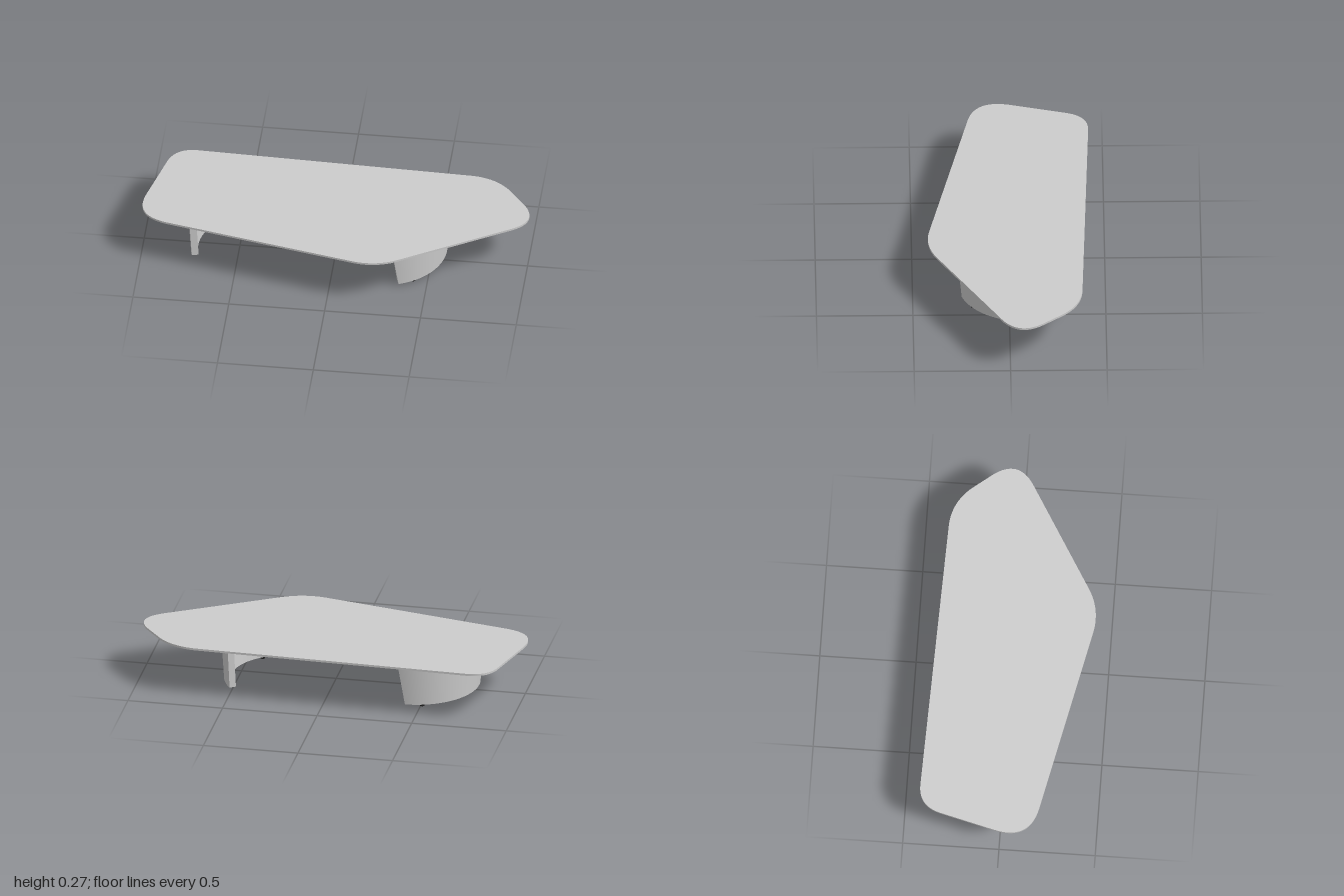
import * as THREE from 'three';
import { toCreasedNormals } from 'three/addons/utils/BufferGeometryUtils.js';

const grey = new THREE.MeshStandardMaterial({ color: 0xcccccc });
const dark = new THREE.MeshStandardMaterial({ color: 0x222222 });

// Closed solid from stacked rings (bottom to top): each ring is { y, pts: [Vector2(x, z)] }
function loft(rings) {
  const flip = (pts) => pts.map((p) => new THREE.Vector2(p.x, -p.y));
  if (THREE.ShapeUtils.area(flip(rings[0].pts)) < 0) {
    rings = rings.map((r) => ({ y: r.y, pts: [...r.pts].reverse() }));
  }
  const n = rings[0].pts.length;
  const pos = [];
  const idx = [];
  for (const r of rings) for (const p of r.pts) pos.push(p.x, r.y, p.y);
  for (let k = 0; k < rings.length - 1; k++) {
    for (let i = 0; i < n; i++) {
      const a = k * n + i, b = k * n + (i + 1) % n;
      idx.push(a, b, b + n, a, b + n, a + n);
    }
  }
  const last = (rings.length - 1) * n;
  for (const [a, b, c] of THREE.ShapeUtils.triangulateShape(flip(rings[0].pts), [])) idx.push(a, c, b);
  for (const [a, b, c] of THREE.ShapeUtils.triangulateShape(flip(rings[rings.length - 1].pts), [])) {
    idx.push(last + a, last + b, last + c);
  }
  const g = new THREE.BufferGeometry();
  g.setAttribute('position', new THREE.Float32BufferAttribute(pos, 3));
  g.setIndex(idx);
  return toCreasedNormals(g, 0.45);
}

// Polygon with softened corners; each corner is [x, z, cut length]
function roundedOutline(corners, steps = 14) {
  const pts = [];
  const n = corners.length;
  corners.forEach(([x, z, d], i) => {
    const c = new THREE.Vector2(x, z);
    const toward = (k) => {
      const o = new THREE.Vector2(corners[k][0], corners[k][1]);
      return o.sub(c).setLength(d).add(c);
    };
    const curve = new THREE.QuadraticBezierCurve(toward((i + n - 1) % n), c, toward((i + 1) % n));
    pts.push(...curve.getPoints(steps));
  });
  return pts;
}

// Moves a convex outline inwards by a distance
function inset(pts, d) {
  const n = pts.length;
  const sign = Math.sign(THREE.ShapeUtils.area(pts));
  return pts.map((p, i) => {
    const t = pts[(i + 1) % n].clone().sub(pts[(i + n - 1) % n]).normalize();
    return new THREE.Vector2(p.x - t.y * d * sign, p.y + t.x * d * sign);
  });
}

// Curved band between two radii around the origin, angles in degrees
function band(rOut, rIn, from, to, steps = 32) {
  const outer = [], inner = [];
  for (let i = 0; i <= steps; i++) {
    const a = THREE.MathUtils.degToRad(from + (to - from) * i / steps);
    outer.push(new THREE.Vector2(rOut * Math.cos(a), rOut * Math.sin(a)));
    inner.push(new THREE.Vector2(rIn * Math.cos(a), rIn * Math.sin(a)));
  }
  return [...outer, ...inner.reverse()];
}

function createLeg(name, x, z, turn) {
  const leg = new THREE.Group();
  leg.name = name;
  // Flared, curved panel
  const panel = new THREE.Mesh(loft([
    { y: 0.012, pts: band(0.33, 0.294, -35.5, 70) },
    { y: 0.234, pts: band(0.344, 0.308, -36.5, 76) },
  ]), grey);
  panel.name = 'legPanel';
  leg.add(panel);
  // Small floor pads
  for (const deg of [-20.5, 54]) {
    const a = THREE.MathUtils.degToRad(deg);
    const pad = new THREE.Mesh(new THREE.CylinderGeometry(0.012, 0.012, 0.014, 20), dark);
    pad.name = 'floorPad';
    pad.position.set(0.311 * Math.cos(a), 0.007, 0.311 * Math.sin(a));
    leg.add(pad);
  }
  leg.position.set(x, 0, z);
  leg.rotation.y = -THREE.MathUtils.degToRad(turn);
  return leg;
}

export function createModel() {
  const table = new THREE.Group();
  table.name = 'lowTable';

  // Five-sided top with a stepped, bevelled underside
  const outline = roundedOutline([
    [-0.887, -0.428, 0.12],
    [0.80, -0.372, 0.14],
    [1.062, -0.04, 0.17],
    [0.257, 0.438, 0.13],
    [-1.04, 0.16, 0.19],
  ]);
  const profile = [[0.075, 0.232], [0.058, 0.249], [0, 0.259], [0, 0.27]];
  const top = new THREE.Mesh(loft(profile.map(([d, y]) => ({ y, pts: inset(outline, d) }))), grey);
  top.name = 'tableTop';
  table.add(top);

  // The same leg twice, turned to face each end
  table.add(createLeg('leftLeg', 0.243, -0.065, 0));
  table.add(createLeg('rightLeg', -0.419, 0.039, 199.5));
  return table;
}
